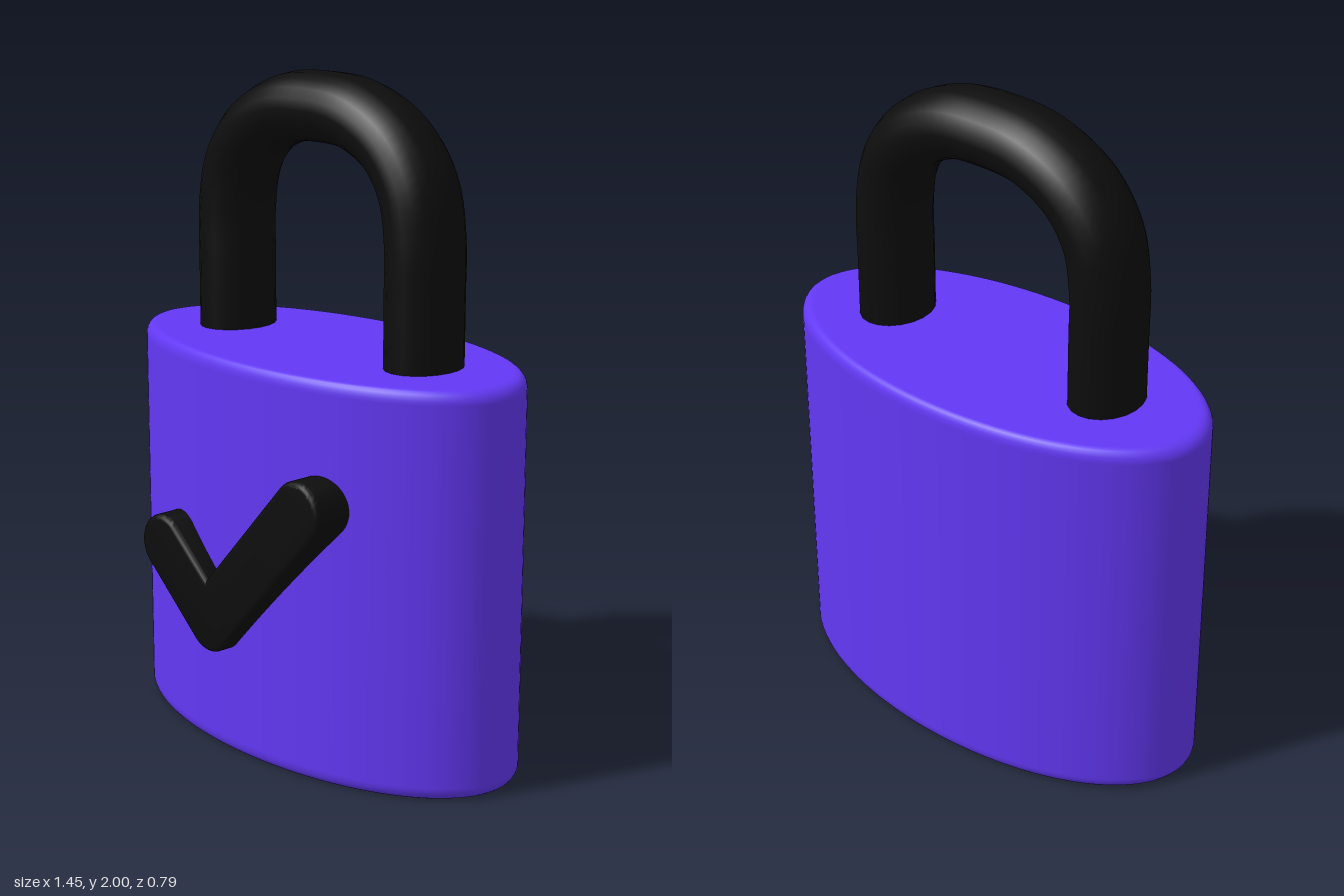
import * as THREE from 'three';
import { toCreasedNormals } from 'three/addons/utils/BufferGeometryUtils.js';

const purple = new THREE.MeshStandardMaterial({ color: 0x6338f5 });
const black = new THREE.MeshStandardMaterial({ color: 0x0d0d0d });

function addPart(parent, name, geometry, material) {
  const mesh = new THREE.Mesh(geometry, material);
  mesh.name = name;
  parent.add(mesh);
  return mesh;
}

// Oval block with softly rounded rims
function bodyGeometry() {
  const radius = 0.727, height = 1.2, bevel = 0.04, steps = 6;
  const profile = [new THREE.Vector2(0, 0), new THREE.Vector2(radius - bevel - 0.01, 0)];
  for (const [cy, start] of [[bevel, -Math.PI / 2], [height - bevel, 0]]) {
    for (let i = 0; i <= steps; i++) {
      const a = start + (i / steps) * Math.PI / 2;
      profile.push(new THREE.Vector2(radius - bevel + bevel * Math.cos(a), cy + bevel * Math.sin(a)));
    }
  }
  profile.push(new THREE.Vector2(radius - bevel - 0.01, height), new THREE.Vector2(0, height));
  return new THREE.LatheGeometry(profile, 96).scale(1, 1, 0.502);
}

// Bent bar: straight legs and a flattened arch, mirrored from one half
function shackleGeometry() {
  const half = [[0.403, 1.1], [0.403, 1.25], [0.403, 1.4], [0.402, 1.56], [0.374, 1.7], [0.293, 1.81], [0.15, 1.883]];
  const points = [
    ...half.map(([x, y]) => new THREE.Vector3(-x, y, 0)),
    new THREE.Vector3(0, 1.898, 0),
    ...half.slice().reverse().map(([x, y]) => new THREE.Vector3(x, y, 0)),
  ];
  const path = new THREE.CatmullRomCurve3(points);
  return new THREE.TubeGeometry(path, 72, 0.103, 20).scale(1, 1, 1.23);
}

// Round-ended tick stroke with a mitred inner corner
function checkGeometry() {
  const r = 0.092, q = Math.PI / 2, bevel = 0.015;
  const start = new THREE.Vector2(-0.276, 0.6);
  const corner = new THREE.Vector2(-0.065, 0.412);
  const end = new THREE.Vector2(0.322, 0.834);
  const a1 = corner.clone().sub(start).angle() - 2 * Math.PI;
  const a2 = end.clone().sub(corner).angle();
  const shape = new THREE.Shape();
  shape.absarc(start.x, start.y, r, a1 + q, a1 + 3 * q, false);
  shape.absarc(corner.x, corner.y, r, a1 - q, a2 - q, false);
  shape.absarc(end.x, end.y, r, a2 - q, a2 + q, false);
  const mitre = r / Math.cos((a2 - a1) / 2), mid = (a1 + a2) / 2 + q;
  shape.lineTo(corner.x + mitre * Math.cos(mid), corner.y + mitre * Math.sin(mid));
  shape.closePath();
  const geometry = new THREE.ExtrudeGeometry(shape, {
    depth: 0.2, curveSegments: 16, bevelEnabled: true,
    bevelThickness: bevel, bevelSize: bevel, bevelOffset: -bevel, bevelSegments: 3,
  });
  return toCreasedNormals(geometry, 0.7);
}

export function createModel() {
  const model = new THREE.Group();
  model.name = 'padlock';

  // The whole lock is turned very slightly about the vertical
  const lock = new THREE.Group();
  lock.name = 'lock';
  lock.position.z = -0.035;
  lock.rotation.y = 0.022;
  model.add(lock);

  addPart(lock, 'body', bodyGeometry(), purple);
  addPart(lock, 'shackle', shackleGeometry(), black);
  addPart(lock, 'checkMark', checkGeometry(), black).position.z = 0.206;
  return model;
}
